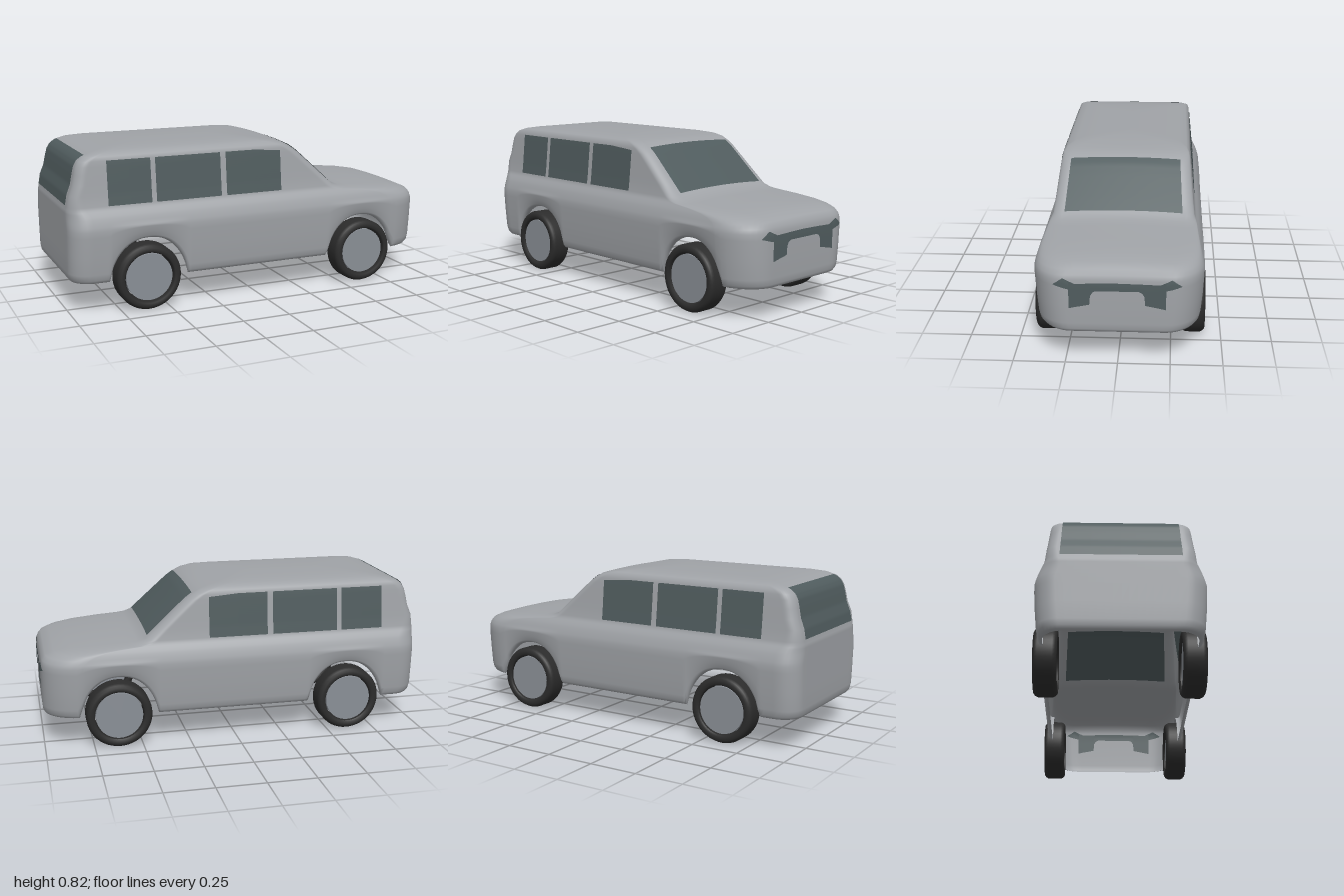
import * as THREE from 'three';

const mat = (name, color, side = THREE.FrontSide) => {
  const m = new THREE.MeshStandardMaterial({ color, side });
  m.name = name;
  return m;
};
const { lerp, clamp, smoothstep } = THREE.MathUtils;

// Body levels: height, rear x, front x, half width, front corner radii (x, z), crown
const LEVELS = [
  [0.16, -0.975, 0.98, 0.365, 0.2, 0.16, 0],
  [0.165, -0.985, 0.99, 0.378, 0.2, 0.16, 0],
  [0.18, -0.995, 0.997, 0.388, 0.2, 0.16, 0],
  [0.21, -1, 1, 0.394, 0.2, 0.16, 0],
  [0.3, -1, 1, 0.402, 0.2, 0.16, 0],
  [0.4, -1, 1, 0.408, 0.2, 0.16, 0],
  [0.43, -1, 0.998, 0.408, 0.2, 0.16, 0],
  [0.45, -1, 0.993, 0.404, 0.2, 0.16, 0.005],
  [0.47, -1, 0.975, 0.398, 0.2, 0.16, 0.01],
  [0.487, -1, 0.93, 0.392, 0.19, 0.15, 0.013],
  [0.5, -1, 0.85, 0.386, 0.16, 0.13, 0.015],
  [0.512, -1, 0.72, 0.379, 0.12, 0.1, 0.015],
  [0.522, -1, 0.57, 0.373, 0.08, 0.08, 0.015],
  [0.53, -0.998, 0.51, 0.368, 0.06, 0.06, 0.015],
  [0.545, -0.995, 0.465, 0.362, 0.05, 0.05, 0.015],
  [0.6, -0.985, 0.405, 0.355, 0.05, 0.05, 0.015],
  [0.65, -0.965, 0.35, 0.35, 0.05, 0.05, 0.015],
  [0.7, -0.955, 0.295, 0.345, 0.05, 0.05, 0.015],
  [0.74, -0.945, 0.25, 0.341, 0.05, 0.05, 0.015],
  [0.765, -0.93, 0.215, 0.338, 0.05, 0.05, 0.013],
];
// Roof levels, closing towards the centre line
const ROOF = [
  [0.785, -0.905, 0.18, 0.333, 0.05, 0.05, 0.01],
  [0.8, -0.86, 0.13, 0.318, 0.05, 0.05, 0.005],
  [0.81, -0.8, 0.06, 0.28, 0.05, 0.05, 0],
  [0.817, -0.72, -0.02, 0.2, 0.05, 0.05, 0],
  [0.82, -0.6, -0.1, 0.08, 0.05, 0.05, 0],
  [0.821, -0.55, -0.15, 0, 0.05, 0, 0],
];
const ALL = [...LEVELS, ...ROOF];
const WHEELS_X = [-0.61, 0.62];

function levelAt(y) {
  let i = 0;
  while (i < ALL.length - 2 && ALL[i + 1][0] < y) i++;
  const a = ALL[i], b = ALL[i + 1], t = clamp((y - a[0]) / (b[0] - a[0]), 0, 1);
  return a.map((v, k) => lerp(v, b[k], t));
}
const rearRadius = (y) => lerp(0.1, 0.05, smoothstep(y, 0.48, 0.58));
const crownAt = (L, x, z) =>
  L[3] > 0 ? L[6] * (1 - (z / L[3]) ** 2) * clamp(x / 0.2, 0, 1) : 0;

// Lower edge of the sides, raised over the wheels
function sillAt(x) {
  let y = 0.16;
  for (const [c, r] of [[-0.6, 0.205], [0.615, 0.2]]) {
    const t = Math.abs(x - c) / r;
    if (t < 1) y = 0.16 + 0.21 * (1 - t ** 2.2) ** 0.6;
  }
  return y;
}

// One closed outline at a level, running rear, left side, front, right side
function outline(L) {
  const [y, rear, front, hw, fx, fz0] = L;
  const fz = Math.min(fz0, hw), rr = Math.min(rearRadius(y), hw);
  const half = [];
  for (let i = 0; i < 8; i++) half.push([rear, ((hw - rr) * i) / 8]);
  for (let i = 0; i < 8; i++) {
    const a = (i / 8) * Math.PI / 2;
    half.push([rear + rr - rr * Math.cos(a), hw - rr + rr * Math.sin(a)]);
  }
  for (let i = 0; i < 130; i++) half.push([lerp(rear + rr, front - fx, i / 130), hw]);
  for (let i = 0; i < 10; i++) {
    const a = (i / 10) * Math.PI / 2;
    half.push([front - fx + fx * Math.sin(a), hw - fz + fz * Math.cos(a)]);
  }
  for (let i = 0; i <= 8; i++) half.push([front, (hw - fz) * (1 - i / 8)]);
  const other = half.slice(1, -1).reverse().map(([x, z]) => [x, -z]);
  return [...half, ...other].map(([x, z]) => {
    let h = y + crownAt(L, x, z);
    if (y < 0.45) {
      const sill = sillAt(x);
      h = sill + ((y - 0.16) * (0.45 - sill)) / 0.29;
    }
    return [x, h, z];
  });
}

function bodyGeometry() {
  const loops = ALL.map(outline), n = loops[0].length, index = [];
  for (let j = 0; j < loops.length - 1; j++)
    for (let i = 0; i < n; i++) {
      const a = j * n + i, b = j * n + ((i + 1) % n);
      index.push(a, b, b + n, a, b + n, a + n);
    }
  const g = new THREE.BufferGeometry();
  g.setAttribute('position', new THREE.Float32BufferAttribute(loops.flat(2), 3));
  g.setIndex(index);
  g.computeVertexNormals();
  return g;
}

// Curved panel from a rule p(u, v)
function panel(nu, nv, p) {
  const pos = [], index = [];
  for (let j = 0; j <= nv; j++)
    for (let i = 0; i <= nu; i++) {
      pos.push(...p(i / nu, j / nv));
      if (i < nu && j < nv) {
        const a = j * (nu + 1) + i, b = a + nu + 1;
        index.push(a, a + 1, b + 1, a, b + 1, b);
      }
    }
  const g = new THREE.BufferGeometry();
  g.setAttribute('position', new THREE.Float32BufferAttribute(pos, 3));
  g.setIndex(index);
  g.computeVertexNormals();
  return g;
}

// x of the nose surface at a given width and height
function noseX(z, y) {
  const [, , front, hw, rx, rz] = levelAt(y);
  const t = clamp((Math.abs(z) - (hw - rz)) / rz, 0, 1);
  return front - rx + rx * Math.sqrt(1 - t * t);
}

export function createModel() {
  const model = new THREE.Group();
  const paint = mat('greyPaint', 0xa0a3a7, THREE.DoubleSide);
  const glass = mat('darkGlass', 0x505c5e, THREE.DoubleSide);
  const rubber = mat('rubber', 0x2c2c2c);
  const metal = mat('rimMetal', 0x8a8f96);
  const add = (name, geo, material, parent = model) => {
    const m = new THREE.Mesh(geo, material);
    m.name = name;
    parent.add(m);
    return m;
  };

  add('body', bodyGeometry(), paint);

  // Glass and grille lie just outside and just inside the shell
  const grille = [
    [0, 0.38, 0.42], [0.1, 0.38, 0.418], [0.115, 0.373, 0.418], [0.126, 0.355, 0.417],
    [0.13, 0.31, 0.417], [0.2, 0.296, 0.415], [0.226, 0.29, 0.427], [0.227, 0.386, 0.427],
    [0.255, 0.393, 0.44], [0.28, 0.4, 0.422], [0.3, 0.405, 0.407],
  ];
  for (const d of [0.004, -0.004]) {
    for (const s of [1, -1]) {
      for (const [x0, x1] of [[-0.8, -0.575], [-0.55, -0.2], [-0.17, 0.14]])
        add('sideWindow', panel(2, 22, (u, v) => {
          const y = lerp(0.545, 0.767 - 0.012 * Math.max(0, lerp(x0, x1, u) / 0.14), v);
          return [lerp(x0, x1, u), y, s * (levelAt(y)[3] + d)];
        }), glass);
      add('grille', panel(grille.length - 1, 4, (u, v) => {
        const [z, lo, hi] = grille[Math.round(u * (grille.length - 1))];
        const y = lerp(lo, hi, v);
        return [noseX(z, y) + d, y, s * z];
      }), glass);
    }
    add('windscreen', panel(16, 22, (u, v) => {
      const y = lerp(0.555, 0.765, v), L = levelAt(y);
      const z = lerp(0.3, 0.285, v) * (1 - 2 * u);
      return [L[2] + d * 0.8, y + crownAt(L, L[2], z) + d * 0.6, z];
    }), glass);
    add('rearWindow', panel(8, 30, (u, v) => {
      const y = lerp(0.55, 0.79, v);
      return [levelAt(y)[1] - d, y + d * 0.5, lerp(0.29, 0.28, v) * (2 * u - 1)];
    }), glass);
  }

  // Wheels: tyre ring with a separate rim inside
  const tyreProfile = [
    [0.127, -0.05], [0.135, -0.058], [0.152, -0.058], [0.163, -0.05], [0.17, -0.036],
    [0.17, 0.036], [0.163, 0.05], [0.152, 0.058], [0.135, 0.058], [0.127, 0.05], [0.127, -0.05],
  ].map(([r, h]) => new THREE.Vector2(r, h));
  const tyreGeo = new THREE.LatheGeometry(tyreProfile, 48).rotateX(Math.PI / 2);
  const rimGeo = new THREE.CylinderGeometry(0.121, 0.121, 0.09, 48).rotateX(Math.PI / 2);
  for (const x of WHEELS_X)
    for (const s of [1, -1]) {
      const wheel = new THREE.Group();
      wheel.name = 'wheel';
      wheel.position.set(x, 0.172, s * 0.359);
      add('tyre', tyreGeo, rubber, wheel);
      add('rim', rimGeo, metal, wheel);
      model.add(wheel);
    }
  return model;
}
